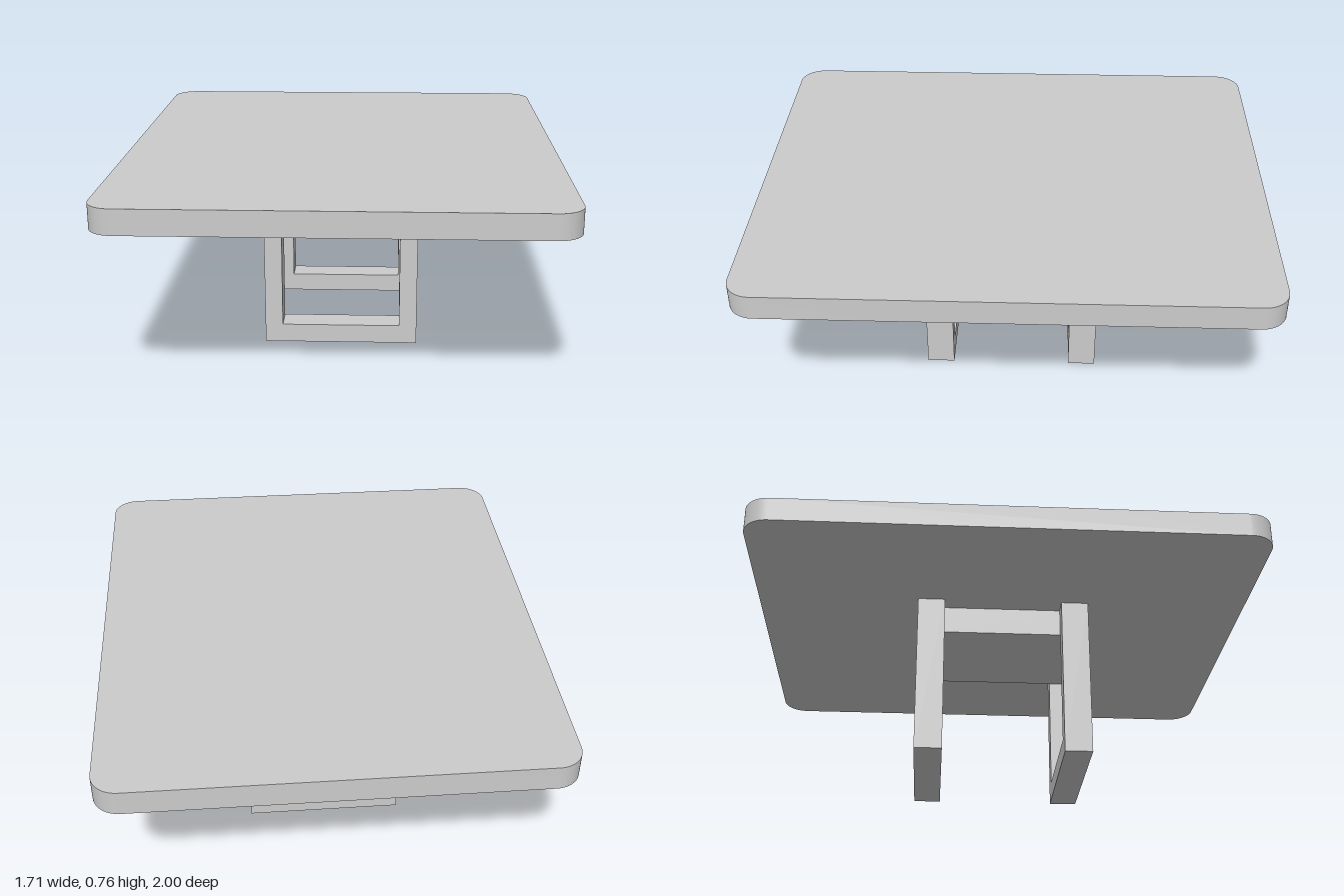
import * as THREE from 'three';
import { toCreasedNormals } from 'three/addons/utils/BufferGeometryUtils.js';

const material = new THREE.MeshStandardMaterial({ color: 0xcccccc });

function addMesh(group, name, geometry) {
  const mesh = new THREE.Mesh(geometry, material);
  mesh.name = name;
  group.add(mesh);
  return mesh;
}

// Rectangle outline with rounded corners, centred on the origin
function roundedRect(halfW, halfH, r) {
  const s = new THREE.Shape();
  s.absarc(halfW - r, halfH - r, r, 0, Math.PI / 2);
  s.absarc(-halfW + r, halfH - r, r, Math.PI / 2, Math.PI);
  s.absarc(-halfW + r, -halfH + r, r, Math.PI, Math.PI * 1.5);
  s.absarc(halfW - r, -halfH + r, r, Math.PI * 1.5, Math.PI * 2);
  s.closePath();
  return s;
}

// Rectangle from corner to corner
function rect(x0, y0, x1, y1) {
  return [[x0, y0], [x1, y0], [x1, y1], [x0, y1]].map(([x, y]) => new THREE.Vector2(x, y));
}

export function createModel() {
  const model = new THREE.Group();
  model.name = 'table';

  const underside = 0.66, topY = 0.756;   // tabletop heights
  const inner = 0.235, railY = 0.546;     // frame opening
  const legZ0 = 0.24, legZ1 = 0.35;       // frame depth range

  // Tabletop slab with rounded corners
  const slab = new THREE.ExtrudeGeometry(roundedRect(0.855, 1, 0.1), {
    depth: topY - underside, bevelEnabled: false, curveSegments: 10,
  });
  slab.rotateX(-Math.PI / 2);
  slab.translate(0, underside, 0);
  addMesh(model, 'tabletop', toCreasedNormals(slab, 0.6));

  // Two open rectangular leg frames
  const outline = new THREE.Shape(rect(-0.305, 0, 0.305, underside));
  outline.holes.push(new THREE.Path(rect(-inner, 0.074, inner, railY).reverse()));
  const frame = new THREE.ExtrudeGeometry(outline, { depth: legZ1 - legZ0, bevelEnabled: false });
  addMesh(model, 'frontLegFrame', frame).position.z = legZ0;
  addMesh(model, 'backLegFrame', frame).position.z = -legZ1;

  // Block under the top joining the frames
  const block = new THREE.BoxGeometry(inner * 2, underside - railY, legZ0 * 2);
  addMesh(model, 'connectingBlock', block).position.y = (underside + railY) / 2;

  return model;
}
